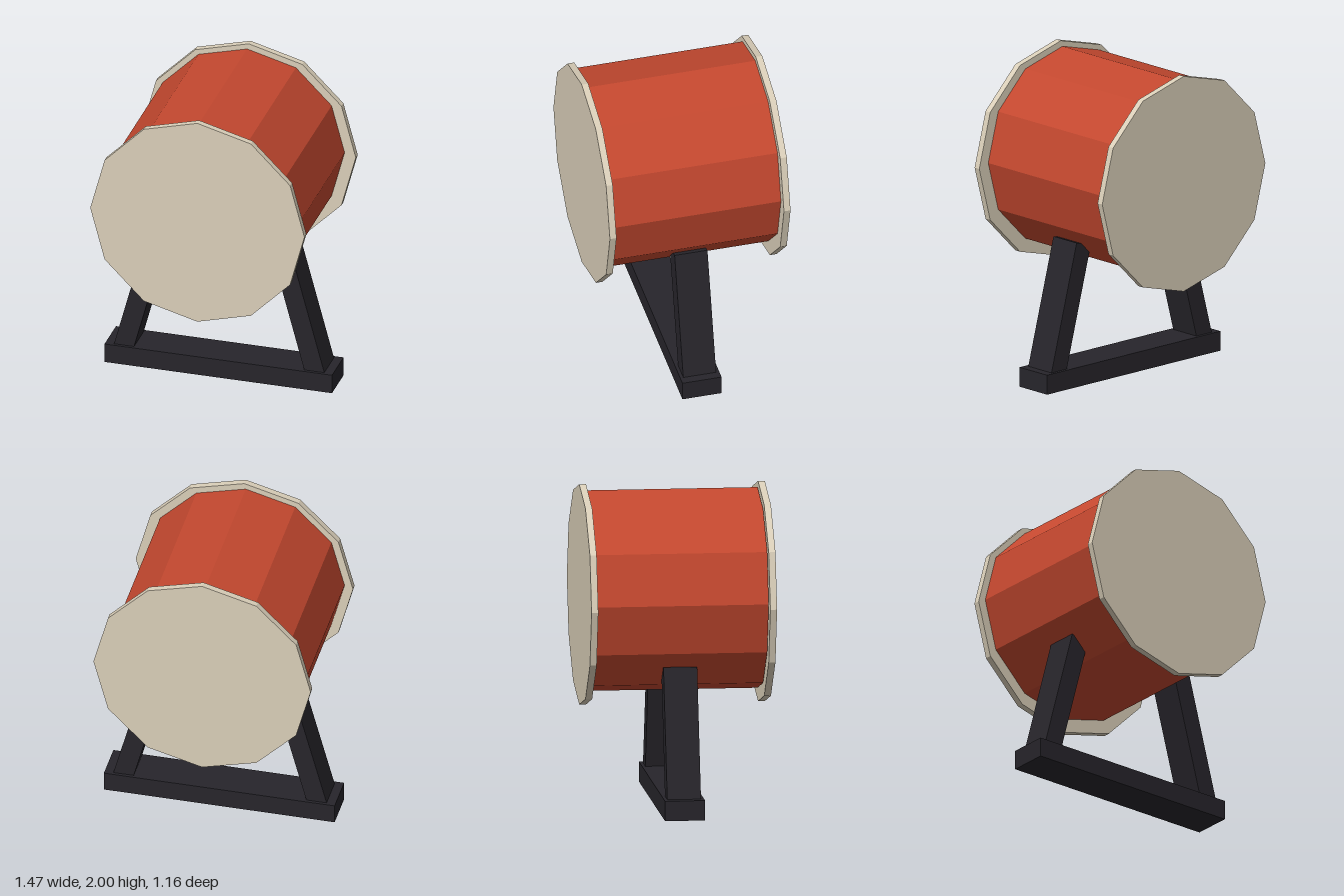
import * as THREE from 'three';

const material = (color) => new THREE.MeshStandardMaterial({ color, flatShading: true });

export function createModel() {
  const group = new THREE.Group();
  const red = material(0xc4482f);
  const cream = material(0xdacfb9);
  const dark = material(0x27252b);

  const add = (name, geometry, mat, x, y, z) => {
    const mesh = new THREE.Mesh(geometry, mat);
    mesh.name = name;
    mesh.position.set(x, y, z);
    group.add(mesh);
    return mesh;
  };

  // Twelve-sided prism lying along z
  const prism = (radius, length) =>
    new THREE.CylinderGeometry(radius, radius, length, 12).rotateX(Math.PI / 2);

  // Drum shell, slightly off-centre between the heads
  add('drumShell', prism(0.63, 1.067), red, -0.01, 1.333, -0.002);

  // Drum heads
  add('frontHead', prism(0.692, 0.042), cream, 0, 1.308, 0.557);
  add('backHead', prism(0.692, 0.042), cream, 0, 1.308, -0.557);

  // Stand: base beam and two legs leaning inward
  add('standBase', new THREE.BoxGeometry(1.47, 0.125, 0.25), dark, 0, 0.0625, 0);

  const lean = Math.PI / 12;
  const bottom = 0.06, top = 0.904;
  const legLength = (top - bottom) / Math.cos(lean);
  for (const side of [1, -1]) {
    const leg = add(side > 0 ? 'leftLeg' : 'rightLeg',
      new THREE.BoxGeometry(0.125, legLength, 0.21), dark,
      side * 0.519, (top + bottom) / 2, 0);
    leg.rotation.z = side * lean;
  }

  return group;
}
